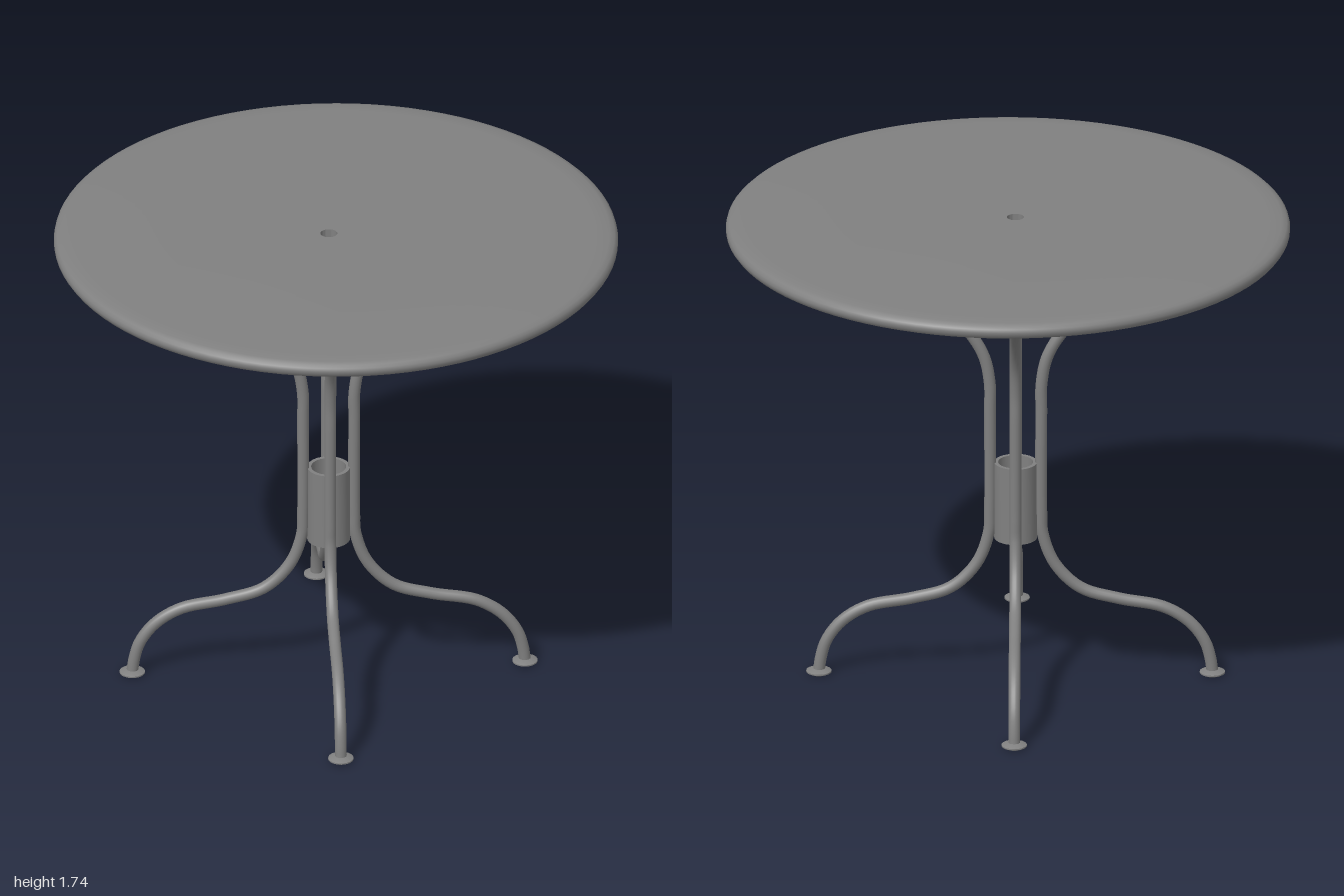
import * as THREE from 'three';
import { toCreasedNormals } from 'three/addons/utils/BufferGeometryUtils.js';

// The base and the parasol hole sit slightly off the centre of the top
const BASE_X = -0.027, BASE_Z = 0.015;

function lathe(points, segments, crease = 0.6) {
  const geometry = new THREE.LatheGeometry(points.map(([r, y]) => new THREE.Vector2(r, y)), segments);
  return toCreasedNormals(geometry, crease);
}

export function createModel() {
  const model = new THREE.Group();
  model.name = 'roundTable';
  const metal = new THREE.MeshStandardMaterial({ color: 0x808080 });
  metal.name = 'grey painted metal';

  const add = (parent, name, geometry) => {
    const mesh = new THREE.Mesh(geometry, metal);
    mesh.name = name;
    parent.add(mesh);
    return mesh;
  };

  // Slightly domed round top with a rolled rim and an off-centre hole
  const top = lathe([
    [0.03, 1.676], [0.93, 1.676], [0.972, 1.679], [0.99, 1.687], [0.999, 1.7],
    [1, 1.71], [0.997, 1.722], [0.988, 1.731], [0.97, 1.737], [0.92, 1.74],
    [0.6, 1.743], [0.03, 1.744], [0.03, 1.676],
  ], 96);
  const pos = top.attributes.position;
  for (let i = 0; i < pos.count; i++) {
    const x = pos.getX(i), z = pos.getZ(i);
    const shift = 1 - Math.hypot(x, z);
    pos.setXYZ(i, x + BASE_X * shift, pos.getY(i), z + BASE_Z * shift);
  }
  add(model, 'tableTop', top);

  const base = new THREE.Group();
  base.name = 'base';
  base.position.set(BASE_X, 0, BASE_Z);
  model.add(base);

  // Hollow collar joining the legs
  add(base, 'collar', lathe([
    [0.062, 0.52], [0.076, 0.52], [0.076, 0.808], [0.062, 0.808], [0.062, 0.52],
  ], 40));

  // Four bent tube legs, each on a small tapered foot
  const path = new THREE.CatmullRomCurve3([
    [0.697, 0.01], [0.69, 0.06], [0.67, 0.126], [0.615, 0.2], [0.524, 0.256],
    [0.364, 0.288], [0.23, 0.329], [0.138, 0.422], [0.095, 0.54], [0.091, 0.62],
    [0.091, 1.0], [0.092, 1.11], [0.114, 1.215], [0.178, 1.32], [0.283, 1.42],
    [0.44, 1.523], [0.74, 1.705],
  ].map(([r, y]) => new THREE.Vector3(r, y, 0)));
  const tube = new THREE.TubeGeometry(path, 110, 0.021, 16, false);
  const footShape = lathe([
    [0, 0], [0.036, 0], [0.045, 0.005], [0.045, 0.01], [0.026, 0.018], [0, 0.02],
  ], 28);
  for (let i = 0; i < 4; i++) {
    const leg = new THREE.Group();
    leg.name = `leg${i + 1}`;
    leg.rotation.y = i * Math.PI / 2;
    add(leg, 'legTube', tube);
    add(leg, 'foot', footShape).position.x = 0.697;
    base.add(leg);
  }

  return model;
}
